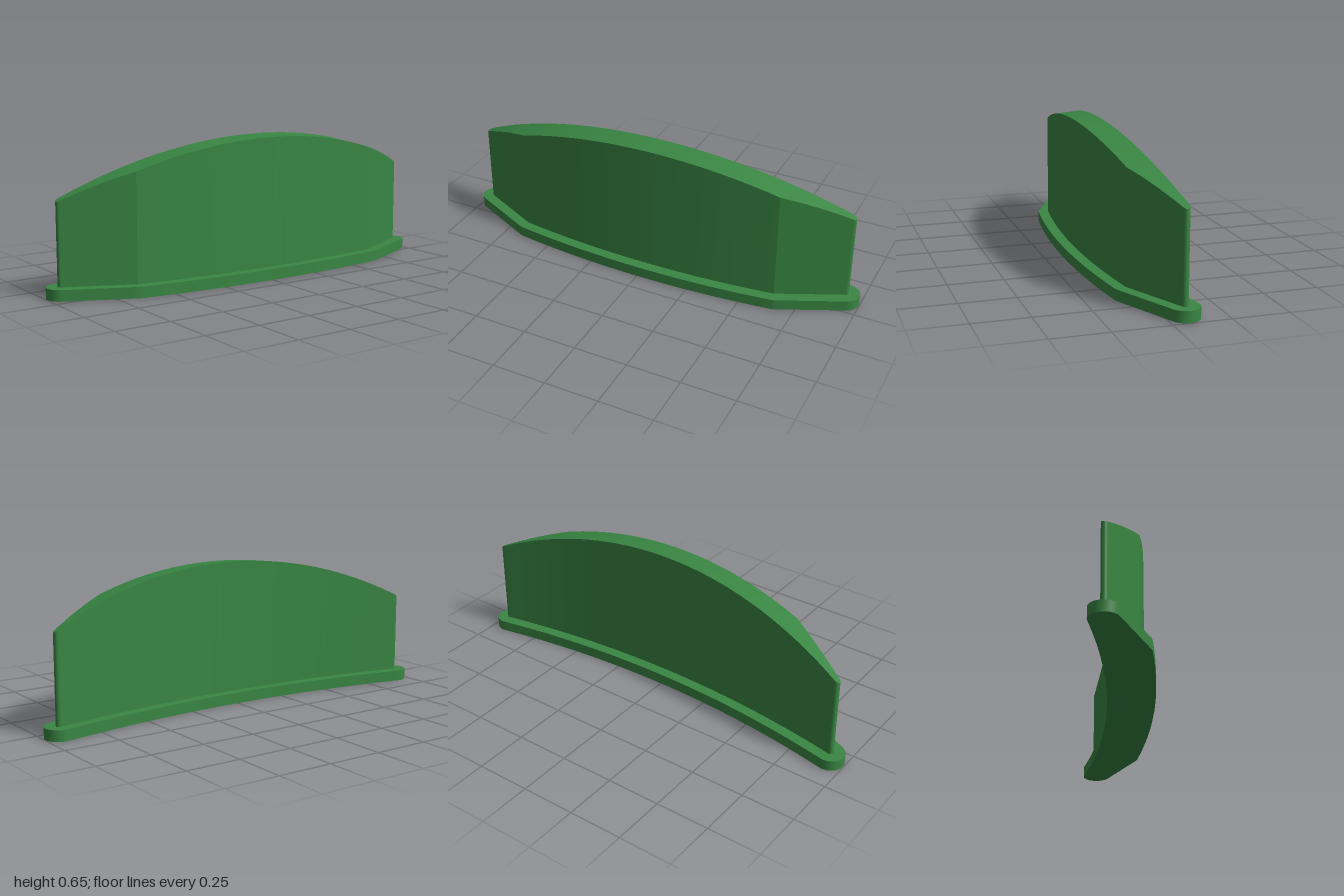
import * as THREE from 'three';
import { toCreasedNormals } from 'three/addons/utils/BufferGeometryUtils.js';

// Plan shape: a crescent between two concentric arcs, with cut front corners and round tips
const R = 4.5, DEPTH = 0.114, TIP_X = 0.932, TIP_R = 0.015, KINK = 0.645, SKEW = 0.0084;
const TIP_Z = -R + Math.sqrt((R + TIP_R) ** 2 - TIP_X ** 2);
const CUT = [0.427, 0.904];   // outward direction of the cut front corner

// Matching front and back edge points from the left tip to the right tip, grown by an offset
function crescent(offset) {
  const r = TIP_R + offset;
  const arc = (radius, x) => -R + Math.sqrt(radius * radius - x * x);
  const frontArc = x => arc(R + DEPTH + offset, x);
  const tip = (x, side) => TIP_Z + side * Math.sqrt(Math.max(0, r * r - (x - TIP_X) ** 2));
  const kinkA = KINK + 0.14 * offset, kinkB = KINK + CUT[0] * offset;
  const kinkZ = arc(R + DEPTH, KINK) + CUT[1] * offset;
  const frontEnd = TIP_X + CUT[0] * r, backEnd = TIP_X - 0.207 * r;
  const lerp = (x, x0, z0, x1, z1) => z0 + (z1 - z0) * (x - x0) / (x1 - x0);

  const front = x => {
    if (x <= kinkA) return frontArc(x);
    if (x < kinkB) return lerp(x, kinkA, frontArc(kinkA), kinkB, kinkZ);
    if (x < frontEnd) return lerp(x, kinkB, kinkZ, frontEnd, tip(frontEnd, 1));
    return tip(x, 1);
  };
  const back = x => (x < backEnd ? arc(R - offset, x) : tip(x, -1));

  // Stations on the right half, then mirrored
  const half = [kinkA];
  if (offset > 0) half.push(kinkB);
  for (let i = 1; i <= 16; i++) half.push(kinkA * i / 16 * 0.999);
  for (let i = 1; i < 8; i++) half.push(kinkB + (backEnd - kinkB) * i / 8);
  for (let i = 0; i <= 10; i++) {
    const a = (Math.PI / 2 + 0.2085) * (1 - i / 10);
    half.push(TIP_X + r * Math.cos(a));
  }
  half.push(frontEnd);
  const xs = [...half.map(x => -x), 0, ...half].sort((a, b) => a - b);
  return xs.map(x => ({
    x,
    front: front(Math.abs(x)) + SKEW * x,
    back: back(Math.abs(x)) + SKEW * x,
  }));
}

// Upright solid over the crescent, closed by a floor and a top of the given height
function wall(offset, bottom, topAt) {
  const pos = [];
  const quad = (a, b, c, d) => pos.push(...a, ...b, ...c, ...a, ...c, ...d);
  const pts = crescent(offset).map(({ x, front, back }) => ({
    fb: [x, bottom, front], ft: [x, topAt(x, front), front],
    bb: [x, bottom, back], bt: [x, topAt(x, back), back],
  }));
  for (let i = 0; i + 1 < pts.length; i++) {
    const p = pts[i], q = pts[i + 1];
    quad(p.fb, q.fb, q.ft, p.ft);   // front
    quad(q.bb, p.bb, p.bt, q.bt);   // back
    quad(p.ft, q.ft, q.bt, p.bt);   // top
    quad(p.bb, q.bb, q.fb, p.fb);   // floor
  }
  const g = new THREE.BufferGeometry();
  g.setAttribute('position', new THREE.Float32BufferAttribute(pos, 3));
  return toCreasedNormals(g, 0.25);
}

export function createModel() {
  const group = new THREE.Group();
  const green = new THREE.MeshStandardMaterial({ color: 0x398643 });
  green.name = 'green';

  const add = (name, geometry) => {
    const mesh = new THREE.Mesh(geometry, green);
    mesh.name = name;
    group.add(mesh);
  };

  // Flat flange and the tall curved body with its arched, slightly tilted top
  const ARCH = 2.08;
  add('baseFlange', wall(0.05, 0, () => 0.05));
  add('curvedBody', wall(0, 0.045, (x, z) =>
    0.655 - ARCH + Math.sqrt(ARCH * ARCH - (x - 0.03) ** 2) - 0.07 * z));
  return group;
}
